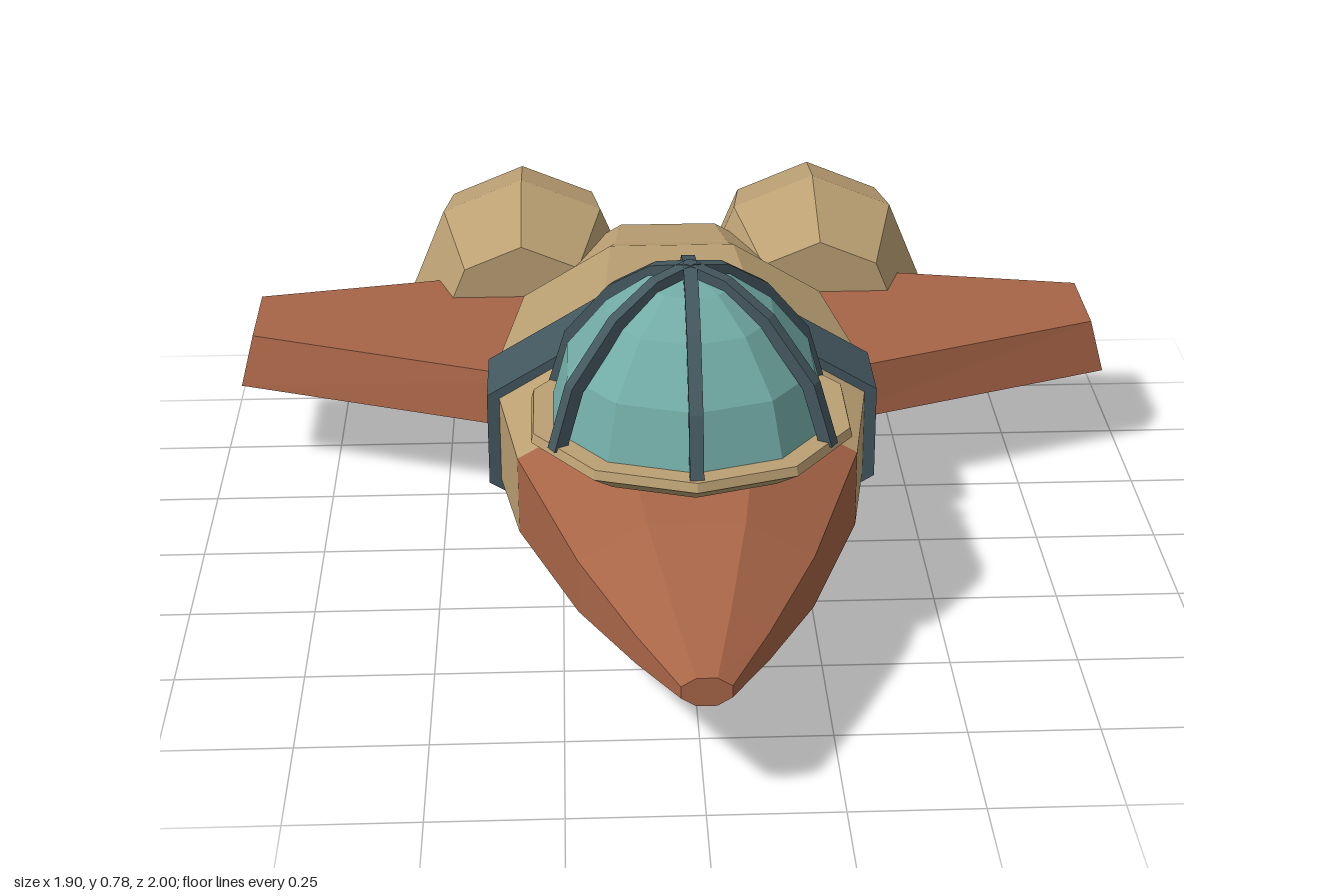
import * as THREE from 'three';

const material = (name, color) => {
  const m = new THREE.MeshStandardMaterial({ color });
  m.name = name;
  return m;
};

// Faceted copy of a geometry
function faceted(geo) {
  const g = geo.index ? geo.toNonIndexed() : geo;
  g.computeVertexNormals();
  return g;
}

// Closed skin over matching counter-clockwise loops, with flat caps at both ends
function loft(loops) {
  const n = loops[0].length;
  const index = [];
  for (let s = 0; s < loops.length - 1; s++) {
    for (let i = 0; i < n; i++) {
      const j = (i + 1) % n;
      const a = s * n + i, b = s * n + j, c = b + n, d = a + n;
      index.push(a, b, c, a, c, d);
    }
  }
  const last = (loops.length - 1) * n;
  for (let i = 1; i < n - 1; i++) {
    index.push(0, i + 1, i);
    index.push(last, last + i, last + i + 1);
  }
  const geo = new THREE.BufferGeometry();
  geo.setAttribute('position', new THREE.Float32BufferAttribute(loops.flat(2), 3));
  geo.setIndex(index);
  return faceted(geo);
}

// Flat-topped octagon with half width w and half height h
const AXIS_Y = 0.26;
function octagon([z, w, h]) {
  const k = 1 / Math.cos(Math.PI / 8);
  return Array.from({ length: 8 }, (_, i) => {
    const a = (i + 0.5) * Math.PI / 4;
    return [Math.cos(a) * w * k, AXIS_Y + Math.sin(a) * h * k, z];
  });
}

const lathe = (points, sides) =>
  faceted(new THREE.LatheGeometry(points.map(p => new THREE.Vector2(...p)), sides));

export function createModel() {
  const tan = material('tan hull', 0xbba073);
  const rust = material('rust paint', 0xa86547);
  const glass = material('teal glass', 0x72aba6);
  const slate = material('dark slate', 0x43575e);

  const model = new THREE.Group();
  model.name = 'spaceship';
  const add = (name, geo, mat, parent = model) => {
    const mesh = new THREE.Mesh(geo, mat);
    mesh.name = name;
    parent.add(mesh);
    return mesh;
  };

  // Fuselage, from tail to nose
  add('hull', loft([
    [-0.8, 0.26, 0.15], [-0.6, 0.305, 0.185], [-0.55, 0.33, 0.2],
    [-0.18, 0.38, 0.23], [0, 0.375, 0.225], [0.25, 0.335, 0.195],
  ].map(octagon)), tan);
  add('nose', loft([
    [0.25, 0.335, 0.195], [0.62, 0.22, 0.13], [0.85, 0.12, 0.07], [1, 0.045, 0.028],
  ].map(octagon)), rust);
  add('band', loft([[-0.18, 0.4, 0.24], [0, 0.4, 0.24]].map(octagon)), slate);

  // Wings and engines on both sides
  const wingBottom = [[0.25, -0.13], [0.95, -0.4], [0.95, -0.64], [0.25, -0.775]];
  const wingTop = [[0.25, -0.145], [0.92, -0.41], [0.92, -0.625], [0.25, -0.755]];
  const engineGeo = lathe([
    [0, 0.6], [0.18, 0.6], [0.255, 0.825], [0.23, 0.98], [0.15, 0.994], [0, 1],
  ], 8).rotateX(-Math.PI / 2);

  for (const [side, s] of [['left', 1], ['right', -1]]) {
    const loop = (pts, y) => {
      const out = pts.map(([x, z]) => [s * x, y, z]);
      return s > 0 ? out : out.reverse();
    };
    add(side + 'Wing', loft([loop(wingBottom, 0.205), loop(wingTop, 0.32)]), rust);
    add(side + 'Engine', engineGeo, tan).position.set(s * 0.335, AXIS_Y, 0);
  }

  // Cockpit: collar, faceted canopy and six curved ribs
  const cockpit = new THREE.Group();
  cockpit.name = 'cockpit';
  cockpit.position.z = 0.33;
  model.add(cockpit);

  add('collar', lathe([
    [0, 0.425], [0.26, 0.425], [0.32, 0.465], [0.315, 0.483], [0, 0.483],
  ], 10), tan, cockpit);
  add('canopy', lathe([
    [0.278, 0.47], [0.245, 0.59], [0.165, 0.69], [0.085, 0.748], [0, 0.766],
  ], 10), glass, cockpit);

  const outer = [[0.307, 0.475], [0.267, 0.595], [0.17, 0.71], [0.08, 0.768], [0, 0.787]];
  const inner = [[0, 0.76], [0.07, 0.742], [0.152, 0.692], [0.243, 0.583], [0.28, 0.475]];
  const ribShape = new THREE.Shape([...outer, ...inner].map(p => new THREE.Vector2(...p)));
  const ribGeo = faceted(new THREE.ExtrudeGeometry(ribShape, { depth: 0.026, bevelEnabled: false })
    .translate(0, 0, -0.013));
  for (let i = 0; i < 6; i++) {
    add('canopyRib', ribGeo, slate, cockpit).rotation.y = -Math.PI / 2 + i * Math.PI / 3;
  }

  return model;
}
